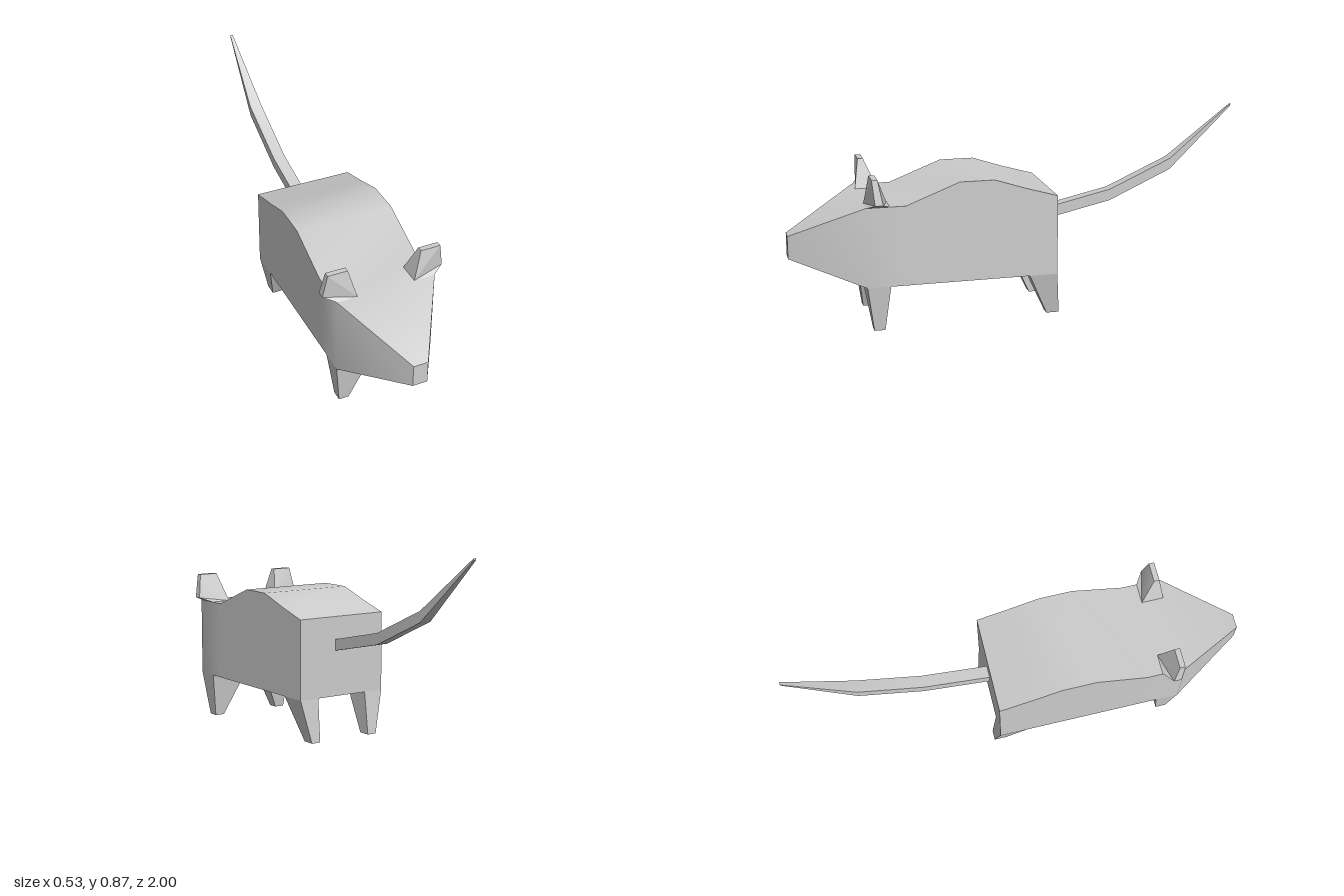
import * as THREE from 'three';
import { toCreasedNormals } from 'three/addons/utils/BufferGeometryUtils.js';

const material = new THREE.MeshStandardMaterial({ color: 0xcccccc });

// Capped skin over a list of rings with equal point counts; always faces outward.
function loft(name, rings, crease = 0.6) {
  const n = rings[0].length;
  const last = rings.length - 1;
  const index = [];
  for (let r = 0; r < last; r++) {
    for (let i = 0; i < n; i++) {
      const a = r * n + i;
      const b = r * n + (i + 1) % n;
      index.push(a, b, b + n, a, b + n, a + n);
    }
  }
  for (let i = 1; i < n - 1; i++) {
    index.push(0, i + 1, i, last * n, last * n + i, last * n + i + 1);
  }
  // Signed volume tells whether the winding points inward
  const points = rings.flat().map(p => new THREE.Vector3(...p));
  let volume = 0;
  for (let i = 0; i < index.length; i += 3) {
    const [a, b, c] = [0, 1, 2].map(k => points[index[i + k]]);
    volume += a.dot(b.clone().cross(c));
  }
  if (volume < 0) index.reverse();

  const geometry = new THREE.BufferGeometry().setFromPoints(points);
  geometry.setIndex(index);
  const mesh = new THREE.Mesh(toCreasedNormals(geometry, crease), material);
  mesh.name = name;
  return mesh;
}

// Upright rectangle across the body axis
const ringXY = (x0, x1, y0, y1, z) => [[x0, y0, z], [x1, y0, z], [x1, y1, z], [x0, y1, z]];
// Level rectangle for the legs
const ringXZ = (x0, x1, z0, z1, y) => [[x0, y, z0], [x1, y, z0], [x1, y, z1], [x0, y, z1]];

export function createModel() {
  const model = new THREE.Group();
  model.name = 'rodent';

  // Body with humped back, narrowing to the snout: half width, bottom, top, z
  const sections = [
    [0.217, 0.2, 0.55, -0.138],
    [0.217, 0.2, 0.59, 0],
    [0.217, 0.2, 0.636, 0.14],
    [0.217, 0.2, 0.636, 0.29],
    [0.217, 0.2, 0.547, 0.52],
    [0.217, 0.2, 0.547, 0.69],
    [0.032, 0.297, 0.397, 1],
  ];
  model.add(loft('body', sections.map(([w, y0, y1, z]) => ringXY(-w, w, y0, y1, z))));

  // Tail rising in three bent segments: left, right, bottom, top, z
  const tail = [
    [-0.021, 0.033, 0.4, 0.45, -0.135],
    [-0.021, 0.033, 0.465, 0.515, -0.43],
    [-0.021, 0.033, 0.592, 0.64, -0.71],
    [0, 0.012, 0.864, 0.872, -1],
  ];
  model.add(loft('tail', tail.map(t => ringXY(...t)), 0.5));

  // Ear outline: x, y, back z, front z
  const ear = [
    [0.127, 0.547, 0.588, 0.686],
    [0.217, 0.547, 0.588, 0.686],
    [0.267, 0.567, 0.622, 0.656],
    [0.249, 0.673, 0.642, 0.666],
    [0.162, 0.673, 0.642, 0.666],
  ];

  for (const [side, s] of [['left', 1], ['right', -1]]) {
    model.add(loft(`${side}Ear`, [
      ear.map(([x, y, back]) => [s * x, y, back]),
      ear.map(([x, y, , front]) => [s * x, y, front]),
    ], 0.3));

    // Front leg, its inner top edge a little wider on the left
    const inner = s > 0 ? 0.035 : 0.065;
    model.add(loft(`${side}FrontLeg`, [
      ringXZ(s * inner, s * 0.217, 0.59, 0.69, 0.2),
      ringXZ(s * 0.147, s * 0.191, 0.615, 0.662, 0),
    ], 0.1));

    // Hind leg, swept backward
    model.add(loft(`${side}HindLeg`, [
      ringXZ(s * 0.125, s * 0.217, -0.138, -0.015, 0.2),
      ringXZ(s * 0.129, s * 0.172, -0.158, -0.102, 0.01),
    ], 0.1));
  }
  return model;
}
